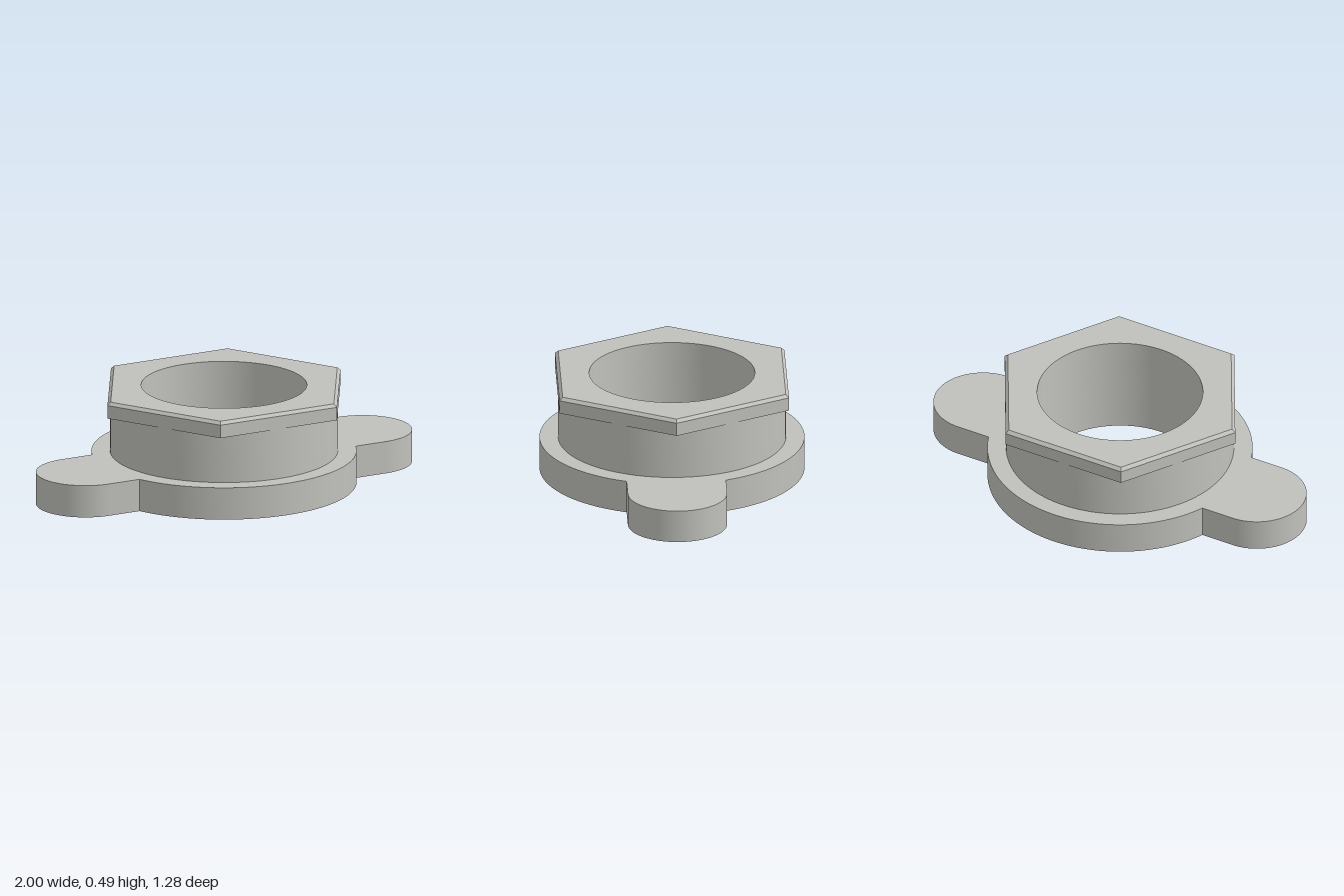
import * as THREE from 'three';
import { toCreasedNormals } from 'three/addons/utils/BufferGeometryUtils.js';

const BORE = 0.4, FLANGE_R = 0.64, LUG_R = 0.24, BARREL_R = 0.55, HEX_R = 0.64;
const FLANGE_TOP = 0.16, BARREL_TOP = 0.41, CHAMFER_Y = 0.475, TOP = 0.49;

export function createModel() {
  const group = new THREE.Group();
  const metal = new THREE.MeshStandardMaterial({ color: 0xc0c0bb });
  metal.name = 'warm grey metal';

  // Extrudes an outline, pierced by the bore, upward from y0 to y1
  function addPart(name, shape, y0, y1, steps = 1, reshape = null) {
    const bore = new THREE.Path();
    bore.absarc(0, 0, BORE, 0, Math.PI * 2, true);
    shape.holes.push(bore);
    const geo = new THREE.ExtrudeGeometry(shape, {
      depth: y1 - y0, steps, bevelEnabled: false, curveSegments: 72,
    });
    geo.rotateX(-Math.PI / 2).translate(0, y0, 0);
    if (reshape) reshape(geo.attributes.position);
    const mesh = new THREE.Mesh(toCreasedNormals(geo, 0.4), metal);
    mesh.name = name;
    group.add(mesh);
  }

  // Round base flange with a rounded lug on each side
  const a = Math.asin(LUG_R / FLANGE_R), lugX = 1 - LUG_R, q = Math.PI / 2;
  const flange = new THREE.Shape();
  flange.absarc(lugX, 0, LUG_R, -q, q, false);
  flange.absarc(0, 0, FLANGE_R, a, Math.PI - a, false);
  flange.absarc(-lugX, 0, LUG_R, q, 3 * q, false);
  flange.absarc(0, 0, FLANGE_R, Math.PI + a, Math.PI * 2 - a, false);
  addPart('flange', flange, 0, FLANGE_TOP);

  // Cylindrical barrel
  const barrel = new THREE.Shape();
  barrel.absarc(0, 0, BARREL_R, 0, Math.PI * 2, false);
  addPart('barrel', barrel, FLANGE_TOP, BARREL_TOP);

  // Hexagonal collar; its middle ring is raised and its top rim drawn in as a chamfer
  const hex = new THREE.Shape(Array.from({ length: 6 }, (_, i) =>
    new THREE.Vector2(HEX_R * Math.cos(i * Math.PI / 3), HEX_R * Math.sin(i * Math.PI / 3))));
  addPart('hexCollar', hex, BARREL_TOP, TOP, 2, (pos) => {
    for (let i = 0; i < pos.count; i++) {
      const x = pos.getX(i), y = pos.getY(i), z = pos.getZ(i);
      if (y > TOP - 0.01) {
        if (Math.hypot(x, z) > 0.5) pos.setXYZ(i, x * 0.972, y, z * 0.972);
      } else if (y > BARREL_TOP + 0.01) pos.setY(i, CHAMFER_Y);
    }
  });

  return group;
}
